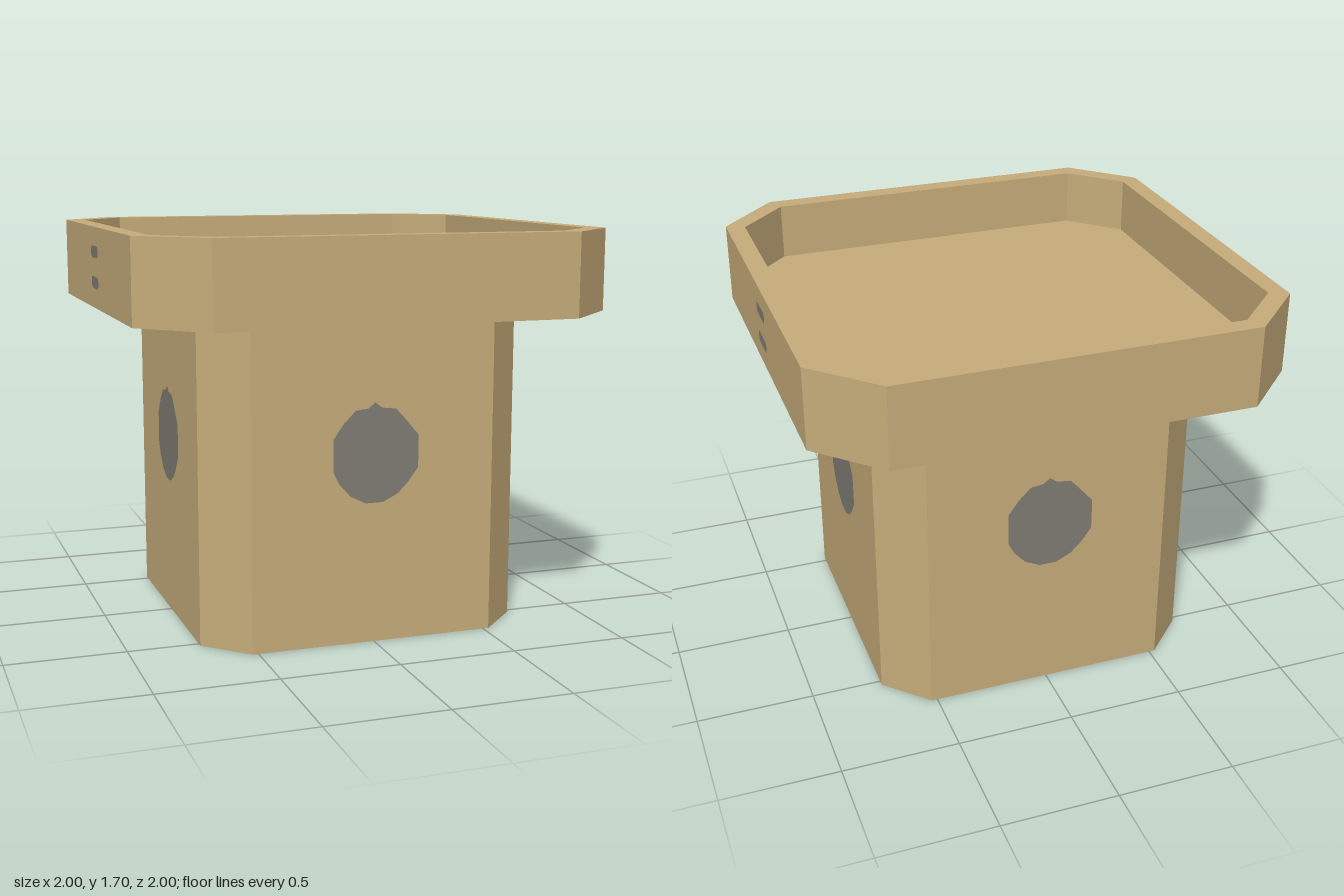
import * as THREE from 'three';

const sand = new THREE.MeshStandardMaterial({ color: 0xc6ac7a });
sand.name = 'sand';
const grey = new THREE.MeshStandardMaterial({ color: 0x807c74 });
grey.name = 'grey';

// Square outline with cut corners: half width h, flat sides ending at c
function octagon(h, c) {
  return [[h, -c], [h, c], [c, h], [-c, h], [-h, c], [-h, -c], [-c, -h], [c, -h]]
    .map(([x, y]) => new THREE.Vector2(x, y));
}

// Upright prism between two heights, with an optional hole
function prism(name, outline, y0, y1, hole) {
  const shape = new THREE.Shape(outline);
  if (hole) shape.holes.push(new THREE.Path(hole));
  const geometry = new THREE.ExtrudeGeometry(shape, { depth: y1 - y0, bevelEnabled: false });
  geometry.rotateX(-Math.PI / 2).translate(0, y0, 0);
  const mesh = new THREE.Mesh(geometry, sand);
  mesh.name = name;
  return mesh;
}

// Flat painted shape on one side, at distance d from the centre
function decal(name, shape, d, y, angle) {
  const geometry = new THREE.ShapeGeometry(shape, 8);
  geometry.translate(0, y, d + 0.002).rotateY(angle);
  const mesh = new THREE.Mesh(geometry, grey);
  mesh.name = name;
  return mesh;
}

export function createModel() {
  const group = new THREE.Group();
  group.name = 'pedestalTray';

  // Column and hollow tray
  const inner = octagon(0.92, 0.715);
  group.add(prism('column', octagon(0.7, 0.525), 0, 1.355));
  group.add(prism('trayRim', octagon(1, 0.75), 1.355, 1.7, inner));
  group.add(prism('trayFloor', inner, 1.355, 1.455));

  // Rounded patch with a small tip, on each side of the column
  const patch = new THREE.Shape([
    [0, 0.21], [0.03, 0.187], [0.09, 0.18], [0.13, 0.137], [0.155, 0.107], [0.19, 0.067],
    [0.19, -0.07], [0.145, -0.13], [0.1, -0.175], [0.035, -0.207], [-0.04, -0.207],
    [-0.105, -0.175], [-0.155, -0.12], [-0.18, -0.07], [-0.18, 0.067], [-0.135, 0.13],
    [-0.085, 0.18], [-0.03, 0.187],
  ].map(([x, y]) => new THREE.Vector2(x, y)).reverse());
  for (let i = 0; i < 4; i++) group.add(decal('sidePatch', patch, 0.7, 0.8, i * Math.PI / 2));

  // Two pill-shaped slots on the left and right of the rim
  const slot = new THREE.Shape();
  slot.absarc(0.045, 0, 0.025, -Math.PI / 2, Math.PI / 2);
  slot.absarc(-0.06, 0, 0.025, Math.PI / 2, Math.PI * 1.5);
  for (const side of [1, -1])
    for (const y of [1.595, 1.465])
      group.add(decal('rimSlot', slot, 1, y, side * Math.PI / 2));

  return group;
}
